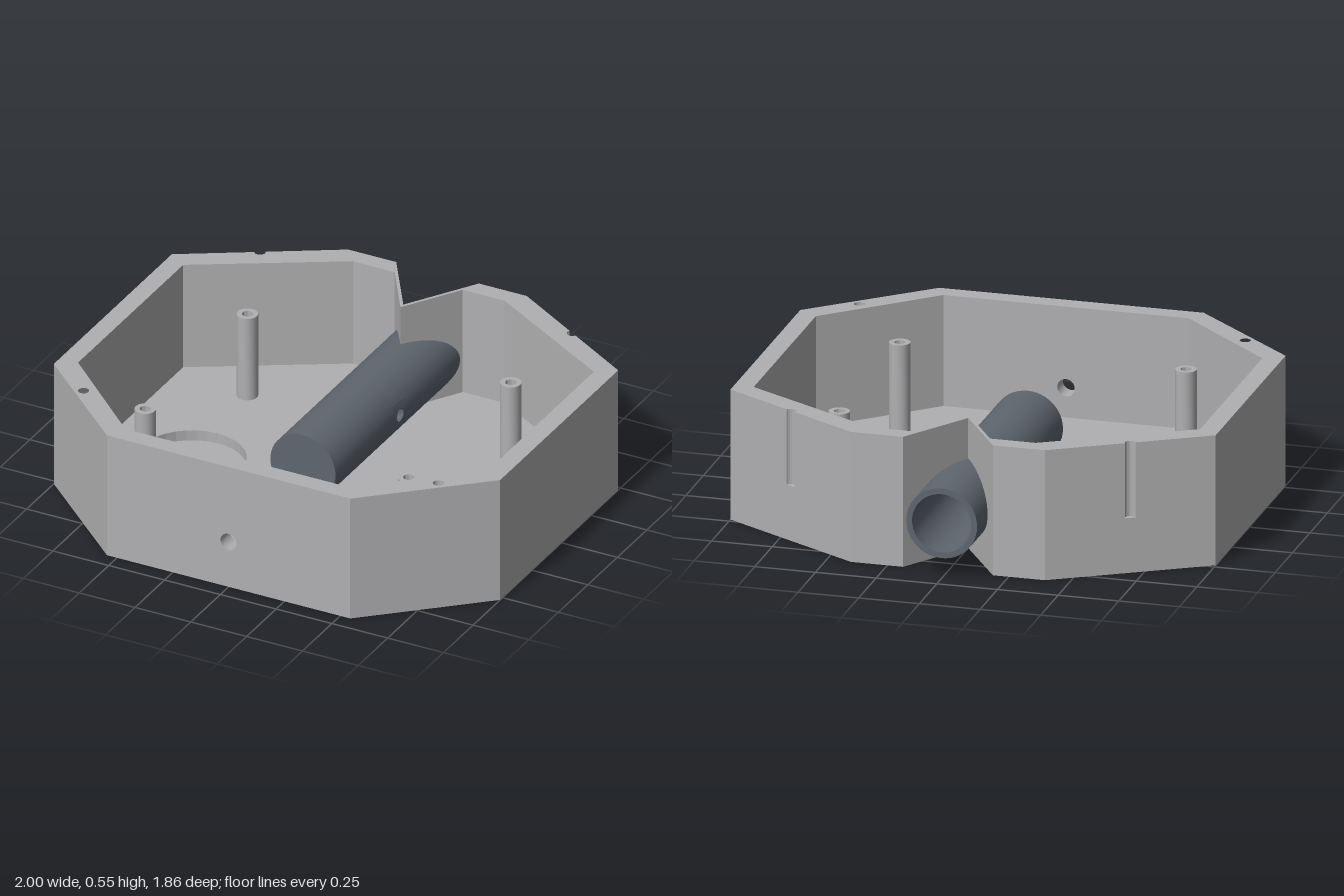
import * as THREE from 'three';
import { toCreasedNormals } from 'three/addons/utils/BufferGeometryUtils.js';

const H = 0.545, FLOOR = 0.08, SLOT_Y = 0.23;      // rim, floor top, bottom of rim slots
const TUBE_Y = 0.23, RO = 0.146, RI = 0.122;       // tube axis height and radii
const TIP_Z = -0.55, V_SLOPE = 0.29 / 0.185;       // V notch at the back

// Plan shape from [x, z] points
const plan = (pts) => new THREE.Shape(pts.map(([x, z]) => new THREE.Vector2(x, -z)));
const addHole = (shape, x, y, r) =>
  shape.holes.push(new THREE.Path().absarc(x, y, r, 0, Math.PI * 2, true));

// Extrude a plan shape upward between two heights
function slab(shape, y0, y1) {
  const g = new THREE.ExtrudeGeometry(shape, { depth: y1 - y0, bevelEnabled: false, curveSegments: 16 });
  return g.rotateX(-Math.PI / 2).translate(0, y0, 0);
}

// Half of the wall ring, optionally with the outer slot and the rim hole
function wallShape(s, cut) {
  const slot = [];
  if (cut) {
    for (let i = 0; i <= 10; i++) {
      const t = (i / 10) * Math.PI, c = 0.023 * Math.cos(t), n = 0.023 * Math.sin(t);
      slot.push([0.70 + 0.857 * c - 0.514 * n, -0.66 + 0.514 * c + 0.857 * n]);
    }
  }
  const pts = [[0.505, 0.93], [0.545, 0.93], [1, 0.52], [1, -0.48], ...slot, [0.4, -0.84],
    [0.185, -0.84], [0.137, -0.765], [0.34, -0.765], [0.92, -0.425], [0.92, 0.465], [0.505, 0.85]];
  const shape = plan(pts.map(([x, z]) => [x * s, z]));
  if (cut) addHole(shape, 0.795 * s, -0.655, 0.022);
  return shape;
}

// Half of the thin V wall, cut away around the tube
function notchWall(s) {
  const pts = [[0, FLOOR], [0.185, FLOOR], [0.185, H], [0, H]];
  for (let i = 0; i <= 16; i++) {
    const a = Math.PI / 2 - (i / 16) * Math.PI;
    pts.push([RO * Math.cos(a), TUBE_Y + RO * Math.sin(a)]);
  }
  const shape = new THREE.Shape(pts.map(([x, y]) => new THREE.Vector2(x * s, y)));
  const g = new THREE.ExtrudeGeometry(shape, { depth: 0.024, bevelEnabled: false });
  const p = g.attributes.position;
  for (let i = 0; i < p.count; i++) p.setZ(i, p.getZ(i) + TIP_Z - V_SLOPE * Math.abs(p.getX(i)));
  g.computeVertexNormals();
  return g;
}

function lathe(profile, segments, start = 0, length = Math.PI * 2) {
  const pts = profile.map(([r, y]) => new THREE.Vector2(r, y));
  return toCreasedNormals(new THREE.LatheGeometry(pts, segments, start, length), 0.6);
}

// Curved piece of tube wall with a small round hole
function tubePatch(w, z0, z1) {
  const pts = [];
  for (let i = 0; i <= 6; i++) pts.push(new THREE.Vector2(RO * w * (i / 3 - 1), z0));
  for (let i = 6; i >= 0; i--) pts.push(new THREE.Vector2(RO * w * (i / 3 - 1), z1));
  const shape = new THREE.Shape(pts);
  addHole(shape, 0, (z0 + z1) / 2, 0.028);
  const g = new THREE.ExtrudeGeometry(shape, { depth: RO - RI, bevelEnabled: false, curveSegments: 12 });
  const p = g.attributes.position;
  for (let i = 0; i < p.count; i++) {
    const a = p.getX(i) / RO, r = RI + p.getZ(i);
    p.setXYZ(i, r * Math.cos(a), r * Math.sin(a), p.getY(i));
  }
  return toCreasedNormals(g, 0.6);
}

export function createModel() {
  const model = new THREE.Group();
  const gray = new THREE.MeshStandardMaterial({ color: 0xb0b0b2 });
  gray.name = 'light gray';
  const slate = new THREE.MeshStandardMaterial({ color: 0x5f666f });
  slate.name = 'slate gray';
  const add = (name, geometry, material = gray, parent = model) => {
    const mesh = new THREE.Mesh(geometry, material);
    mesh.name = name;
    parent.add(mesh);
    return mesh;
  };

  // Floor in two layers: mounting holes below, round recess above
  const half = [[0.545, 0.93], [1, 0.52], [1, -0.48], [0.4, -0.84], [0.185, -0.84]];
  const outline = [...half, [0, TIP_Z], ...half.map(([x, z]) => [-x, z]).reverse()];
  const base = plan(outline), upper = plan(outline);
  const mx = -0.55, mz = 0.2;
  addHole(base, mx, -mz, 0.06);
  for (let i = 0; i < 4; i++) {
    const a = (i * Math.PI) / 2;
    addHole(base, mx + 0.102 * Math.cos(a), -mz + 0.102 * Math.sin(a), 0.027);
  }
  addHole(upper, mx, -mz, 0.217);
  add('floorBase', slab(base, 0, 0.035));
  add('floorTop', slab(upper, 0.035, FLOOR));

  // Side walls and V notch walls, mirrored
  for (const s of [1, -1]) {
    const side = s > 0 ? 'left' : 'right';
    add(side + 'WallLower', slab(wallShape(s, false), FLOOR, SLOT_Y));
    add(side + 'WallUpper', slab(wallShape(s, true), SLOT_Y, H));
    add(side + 'NotchWall', notchWall(s));
  }

  // Front wall with a round hole
  const front = new THREE.Shape([[-0.505, FLOOR], [0.505, FLOOR], [0.505, H], [-0.505, H]]
    .map(([x, y]) => new THREE.Vector2(x, y)));
  addHole(front, 0, 0.205, 0.036);
  add('frontWall', new THREE.ExtrudeGeometry(front, { depth: 0.08, bevelEnabled: false, curveSegments: 16 })
    .translate(0, 0, 0.85));

  // Hollow standoff posts
  const post = lathe([[0.043, FLOOR], [0.043, 0.45], [0.022, 0.45], [0.022, 0.2], [0, 0.2]], 24);
  for (const x of [-0.59, 0.59]) {
    for (const z of [-0.345, 0.52]) add('standoffPost', post).position.set(x, 0, z);
  }

  // Tube: open at the back, capped in front, small hole in its left side
  const tube = new THREE.Group();
  tube.name = 'tube';
  tube.position.y = TUBE_Y;
  model.add(tube);
  const z0 = -0.3, z1 = -0.2, step = (Math.PI * 2) / 48, w = 3 * step;
  const ring = (name, profile, ...range) =>
    add(name, lathe(profile, ...range).rotateX(Math.PI / 2), slate, tube);
  ring('tubeBack', [[RI, z0], [RI, -0.93], [RO, -0.93], [RO, z0]], 48);
  ring('tubeFront', [[RO, z1], [RO, 0.3], [0, 0.3], [0, 0.28], [RI, 0.28], [RI, z1]], 48);
  const range = [42, Math.PI / 2 + w, Math.PI * 2 - 2 * w];
  ring('tubeMiddleOuter', [[RO, z0], [RO, z1]], ...range);
  ring('tubeMiddleInner', [[RI, z1], [RI, z0]], ...range);
  add('tubeSideHole', tubePatch(w, z0, z1), slate, tube);

  return model;
}
